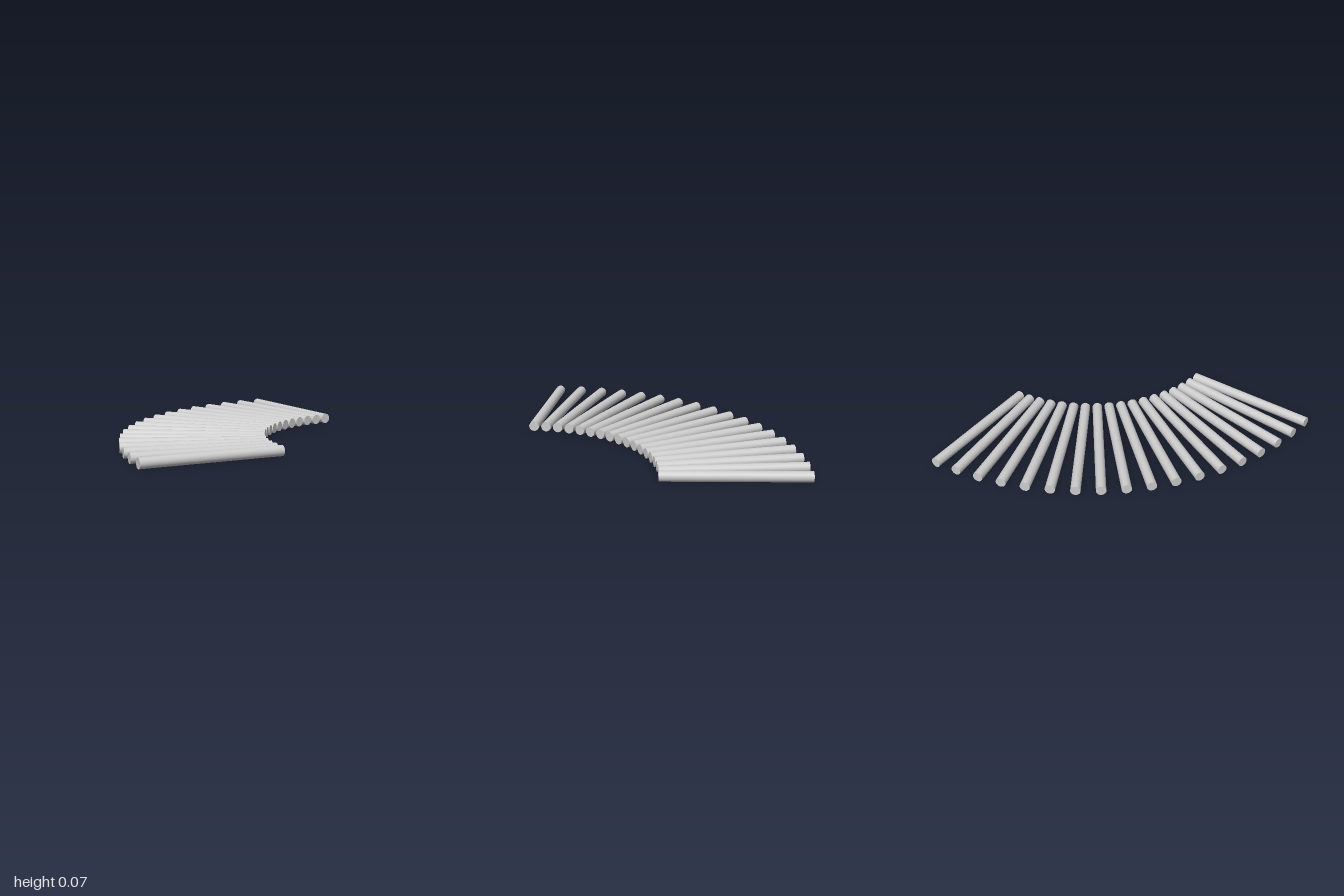
import * as THREE from 'three';

// A quarter circle of round bars lying flat, fanned evenly about one centre.
export function createModel() {
  const group = new THREE.Group();
  group.name = 'barFan';

  const count = 18;
  const radius = 0.036;
  const inner = 1.022, outer = 2.008; // distances of the bar ends from the fan centre
  const centre = 1.007;               // fan centre, same on x and z
  const mid = (inner + outer) / 2;

  const material = new THREE.MeshStandardMaterial({ color: 0xcccccc });
  const geometry = new THREE.CylinderGeometry(radius, radius, outer - inner, 32);
  geometry.rotateX(Math.PI / 2); // lay the bar along z

  for (let i = 0; i < count; i++) {
    const angle = ((i + 0.5) / count) * Math.PI / 2;
    const bar = new THREE.Mesh(geometry, material);
    bar.name = `bar${i + 1}`;
    bar.position.set(centre - mid * Math.sin(angle), radius, centre - mid * Math.cos(angle));
    bar.rotation.y = angle;
    group.add(bar);
  }
  return group;
}
